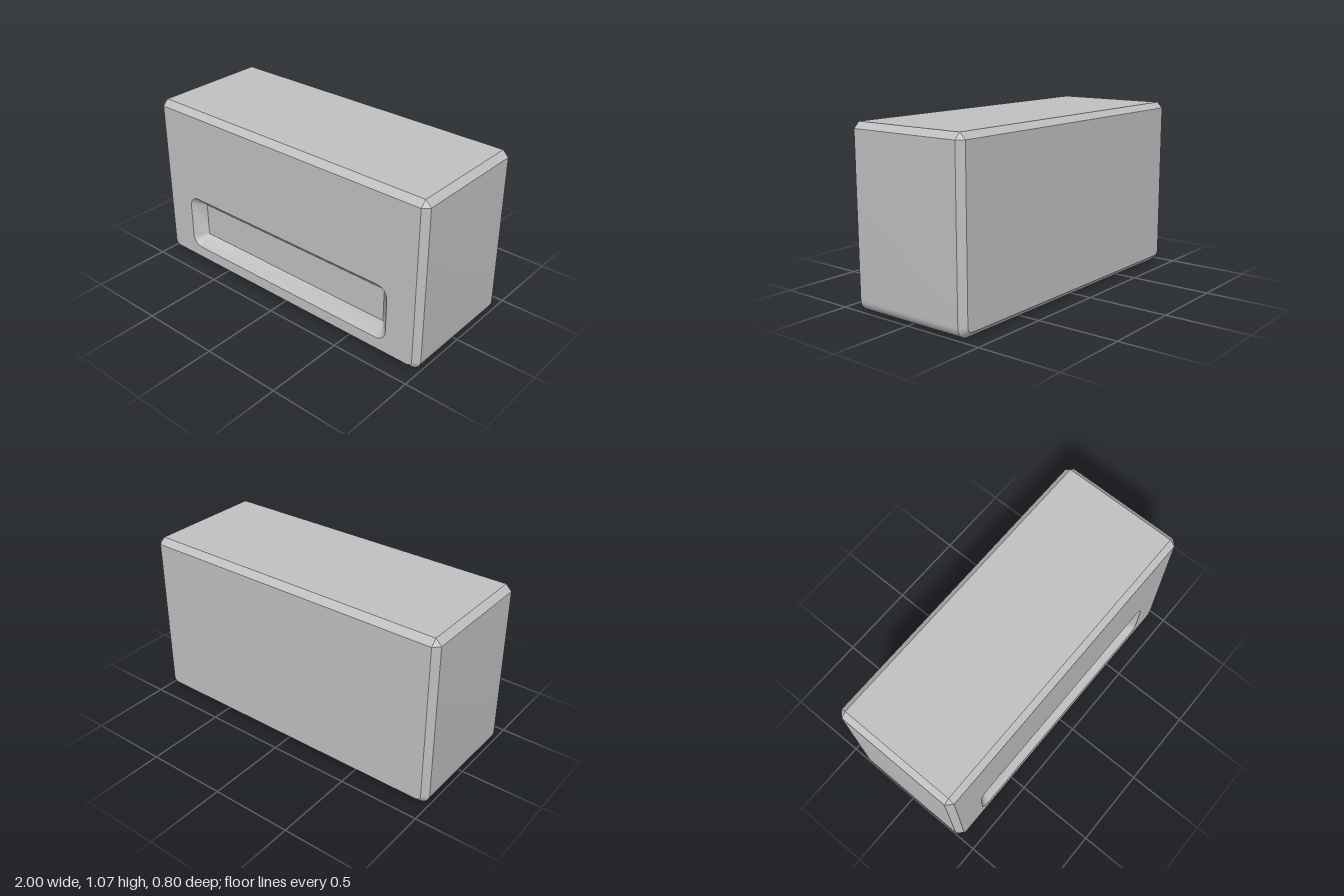
import * as THREE from 'three';
import { toCreasedNormals } from 'three/addons/utils/BufferGeometryUtils.js';

const HALF_DEPTH = 0.4, CHAMFER = 0.036, RECESS = 0.071;

// Counter-clockwise outline with cut or rounded corners; inset shrinks it about the same corner centres
function outline({ halfWidth, bottom, top, bottomRadius, topRadius, topSteps }, inset = 0) {
  const points = [];
  const corner = (sx, sy, start) => {
    const radius = sy > 0 ? topRadius : bottomRadius;
    const steps = sy > 0 ? topSteps : 10;
    const cx = sx * (halfWidth - radius);
    const cy = sy > 0 ? top - radius : bottom + radius;
    for (let i = 0; i <= steps; i++) {
      const a = (start + i / steps) * Math.PI / 2;
      const r = Math.max(radius - inset, 0);
      points.push(new THREE.Vector2(cx + r * Math.cos(a), cy + r * Math.sin(a)));
    }
  };
  corner(1, 1, 0);
  corner(-1, 1, 1);
  corner(-1, -1, 2);
  corner(1, -1, 3);
  return points;
}

// Skin through a list of [outline, z] sections
function loft(sections) {
  const positions = [];
  const tri = (...v) => {
    const t = new THREE.Triangle(...v);
    if (t.getArea() > 1e-8) v.forEach((p) => positions.push(p.x, p.y, p.z));
  };
  for (let s = 0; s < sections.length - 1; s++) {
    const [from, to] = [sections[s], sections[s + 1]].map(([loop, z]) =>
      loop.map((p) => new THREE.Vector3(p.x, p.y, z)));
    from.forEach((a, i) => {
      const j = (i + 1) % from.length;
      tri(a, from[j], to[j]);
      tri(a, to[j], to[i]);
    });
  }
  const geometry = new THREE.BufferGeometry();
  geometry.setAttribute('position', new THREE.Float32BufferAttribute(positions, 3));
  return toCreasedNormals(geometry, Math.PI / 6);
}

export function createModel() {
  const group = new THREE.Group();
  group.name = 'block';
  const grey = new THREE.MeshStandardMaterial({ color: 0xc0c0c0 });
  grey.name = 'grey';
  const add = (name, geometry) => {
    const mesh = new THREE.Mesh(geometry, grey);
    mesh.name = name;
    group.add(mesh);
    return mesh;
  };

  const body = { halfWidth: 1, bottom: 0, top: 1.065, bottomRadius: 0.07, topRadius: CHAMFER, topSteps: 1 };
  const slot = { halfWidth: 0.781, bottom: 0.109, top: 0.465, bottomRadius: RECESS, topRadius: RECESS, topSteps: 10 };
  const full = outline(body), face = outline(body, CHAMFER);
  const rim = outline(slot), floor = outline(slot, RECESS);

  // Sides with chamfered front and back edges
  add('shell', loft([
    [face, -HALF_DEPTH], [full, CHAMFER - HALF_DEPTH],
    [full, HALF_DEPTH - CHAMFER], [face, HALF_DEPTH],
  ]));

  // Front face with the slot opening
  const frontShape = new THREE.Shape(face);
  frontShape.holes.push(new THREE.Path(rim));
  add('frontFace', new THREE.ShapeGeometry(frontShape)).position.z = HALF_DEPTH;

  const back = add('backFace', new THREE.ShapeGeometry(new THREE.Shape(face)));
  back.rotation.y = Math.PI;
  back.position.z = -HALF_DEPTH;

  // Recessed slot: sloping walls down to a sharp-cornered floor
  add('recessWalls', loft([[rim, HALF_DEPTH], [floor, HALF_DEPTH - RECESS]]));
  const panel = new THREE.PlaneGeometry(2 * (slot.halfWidth - RECESS), slot.top - slot.bottom - 2 * RECESS);
  add('recessFloor', panel).position.set(0, (slot.top + slot.bottom) / 2, HALF_DEPTH - RECESS);

  return group;
}
